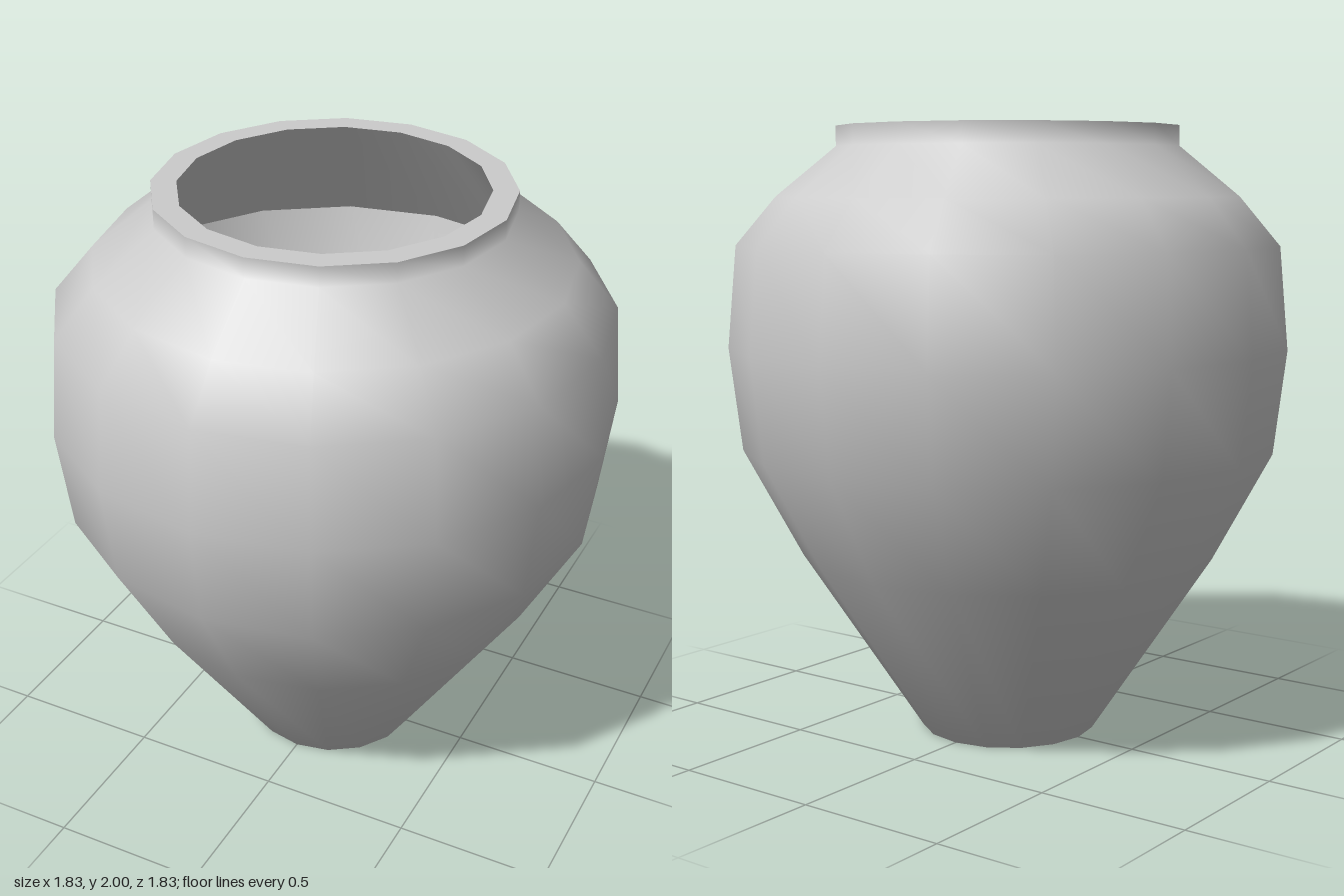
import * as THREE from 'three';

const SIDES = 16;

// Turns a profile of [radius, height] pairs around the y axis
function turned(name, profile, material) {
  const points = profile.map(([r, y]) => new THREE.Vector2(r, y));
  const mesh = new THREE.Mesh(new THREE.LatheGeometry(points, SIDES), material);
  mesh.name = name;
  return mesh;
}

export function createModel() {
  const group = new THREE.Group();
  group.name = 'vase';
  const clay = new THREE.MeshStandardMaterial({ color: 0xcccccc });

  group.add(
    // Base, belly, shoulder and short neck, shaded as one smooth skin
    turned('body', [
      [0, 0], [0.29, 0], [0.685, 0.6], [0.875, 0.955], [0.915, 1.29],
      [0.885, 1.62], [0.755, 1.775], [0.56, 1.935], [0.56, 2],
    ], clay),
    // Flat ring around the mouth
    turned('rim', [[0.56, 2], [0.48, 2]], clay),
    // Underside of the shoulder, flaring out below the mouth
    turned('innerShoulder', [[0.48, 2], [0.8, 1.58]], clay),
    // Inside wall narrowing to the floor
    turned('innerWall', [[0.8, 1.58], [0.6, 0.7], [0.24, 0.08], [0, 0.08]], clay),
  );
  return group;
}
